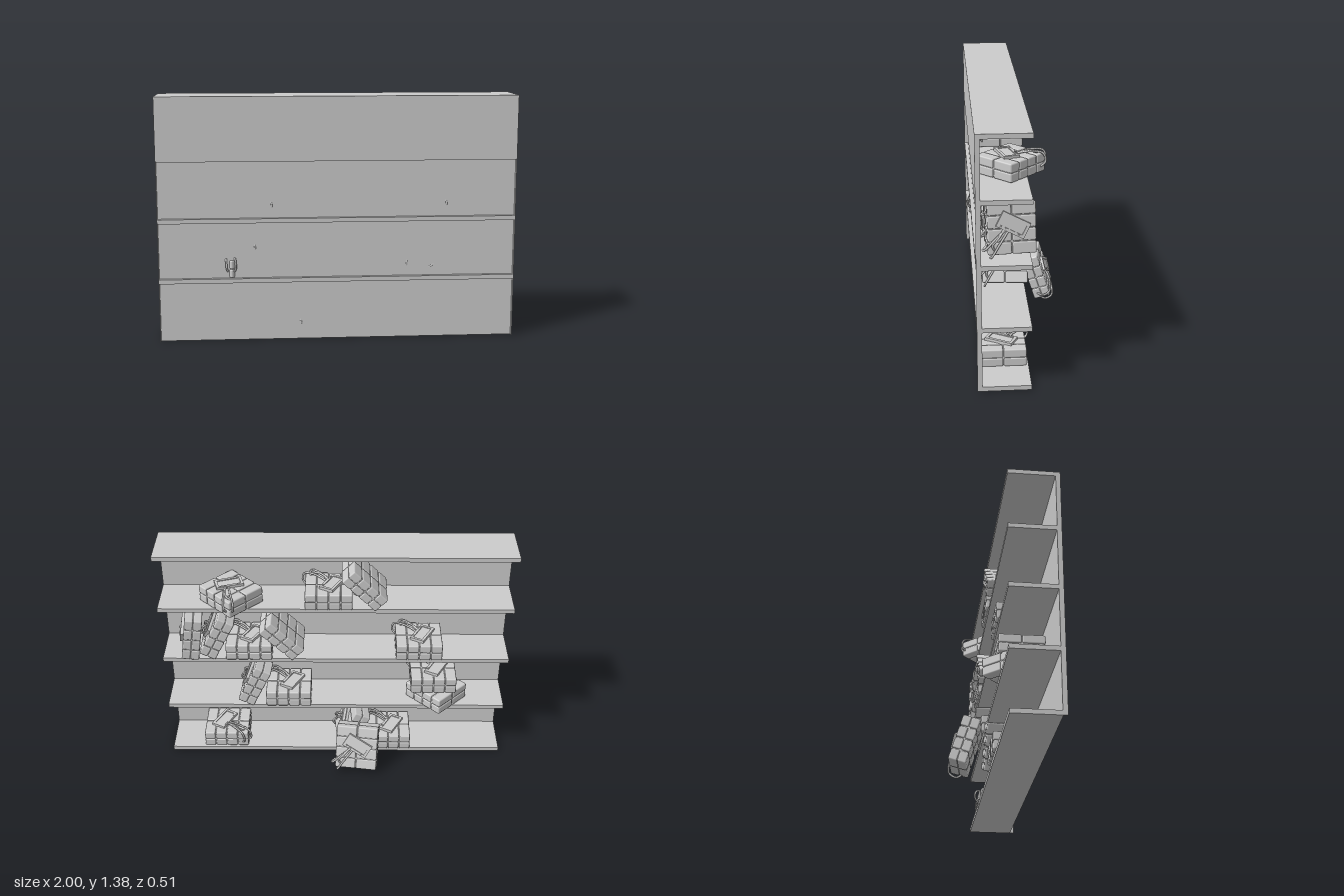
import * as THREE from 'three';
import { RoundedBoxGeometry } from 'three/addons/geometries/RoundedBoxGeometry.js';

const material = new THREE.MeshStandardMaterial({ color: 0xcccccc });
const L = 0.27, H = 0.102, W = 0.25; // bundle size: 4 x 2 x 2 blocks

function add(parent, name, geometry, x = 0, y = 0, z = 0) {
  const mesh = new THREE.Mesh(geometry, material);
  mesh.name = name;
  mesh.position.set(x, y, z);
  parent.add(mesh);
  return mesh;
}

// Box given by its lower and upper corner
function addBox(parent, name, [x0, y0, z0], [x1, y1, z1]) {
  add(parent, name, new THREE.BoxGeometry(x1 - x0, y1 - y0, z1 - z0),
    (x0 + x1) / 2, (y0 + y1) / 2, (z0 + z1) / 2);
}

function rect(Type, w, h) {
  return new Type([
    new THREE.Vector2(-w / 2, -h / 2), new THREE.Vector2(w / 2, -h / 2),
    new THREE.Vector2(w / 2, h / 2), new THREE.Vector2(-w / 2, h / 2),
  ]);
}

// Geometries shared by every bundle
function makeParts() {
  const frame = rect(THREE.Shape, 0.155, 0.085);
  frame.holes.push(rect(THREE.Path, 0.125, 0.055));
  const wire = (pts) => new THREE.TubeGeometry(
    new THREE.CatmullRomCurve3(pts.map((p) => new THREE.Vector3(...p))), 20, 0.006, 6);
  return {
    block: new RoundedBoxGeometry(L / 4 - 0.004, H / 2 - 0.002, W / 2 - 0.004, 1, 0.008),
    core: new THREE.BoxGeometry(L - 0.016, H - 0.016, W - 0.016),
    body: new THREE.BoxGeometry(0.155, 0.085, 0.014),
    frame: new THREE.ExtrudeGeometry(frame, { depth: 0.005, bevelEnabled: false }),
    button: new THREE.BoxGeometry(0.014, 0.005, 0.003),
    wires: [
      wire([[0, 0.055, 0.03], [0.05, 0.068, 0.09], [0.1, 0.055, 0.136], [0.112, 0.01, 0.144], [0.1, -0.02, 0.12]]),
      wire([[0.01, 0.055, 0.02], [0.08, 0.068, 0.07], [0.14, 0.055, 0.105], [0.15, 0.01, 0.11], [0.125, -0.02, 0.1]]),
      wire([[0, 0.055, 0.04], [0.04, 0.07, 0.07], [0.08, 0.06, 0.1], [0.11, 0.045, 0.09]]),
    ],
  };
}

// Bundle of blocks with a small screen unit and wires on top
function makeBundle(parts) {
  const bundle = new THREE.Group();
  bundle.name = 'bundle';
  add(bundle, 'bundleCore', parts.core);
  for (let i = 0; i < 4; i++)
    for (let j = 0; j < 2; j++)
      for (let k = 0; k < 2; k++)
        add(bundle, 'block', parts.block, (i - 1.5) * L / 4, (j - 0.5) * H / 2, (k - 0.5) * W / 2);

  const unit = new THREE.Group();
  unit.name = 'screenUnit';
  add(unit, 'screenBody', parts.body);
  add(unit, 'screenFrame', parts.frame, 0, 0, 0.007);
  for (const x of [-0.05, -0.03, 0.05]) add(unit, 'button', parts.button, x, -0.035, 0.013);
  // Lay flat and turn the long side towards -z
  unit.rotation.set(-Math.PI / 2 + 0.02, 0, 1.08);
  unit.position.set(-0.02, H / 2 + 0.002, -0.006);
  bundle.add(unit);

  parts.wires.forEach((geometry) => add(bundle, 'wire', geometry));
  return bundle;
}

export function createModel() {
  const model = new THREE.Group();
  model.name = 'stockedShelf';

  // Panel: flush upper part, recessed lower part with a thin edge at each end
  const back = -0.023, recess = 0.233, face = 0.256;
  addBox(model, 'upperPanel', [-1, 1.018, 0.231], [1, 1.375, face]);
  addBox(model, 'lowerPanel', [-1, 0, 0.23], [1, 1.02, recess]);
  for (const s of [-1, 1])
    addBox(model, 'panelEdge', [s * 0.9985 - 0.0015, 0, 0.23], [s * 0.9985 + 0.0015, 1.02, face]);

  // Shelves; the middle ones reach through to the face
  const tops = [0.025, 0.36, 0.7, 1.043, 1.375];
  tops.forEach((y, i) =>
    addBox(model, 'shelf', [-1, y - 0.025, back], [1, y, i === 0 ? recess : face]));

  // Bundles: shelf index, x, z, lean and turn in degrees, extra lift
  const layout = [
    [0, 0.67, 0.11, 0, 180],
    [0, -0.32, 0.085, 0, 0],
    [0, -0.1, 0.075, 65, 4],
    [0, -0.13, -0.152, 72, 82, -0.015],
    [1, 0.28, 0.085, 0, 0],
    [1, 0.47, 0.08, 65, -4],
    [1, -0.6, 0.067, 0, -45],
    [1, -0.575, 0.085, 0, 0, H],
    [2, 0.5, 0.085, 0, 0],
    [2, 0.68, 0.08, 63, 0],
    [2, 0.83, 0.075, 82, 5],
    [2, 0.31, 0.075, 135, 0],
    [2, -0.48, 0.085, 0, 0],
    [3, 0.59, 0.06, 0, 135],
    [3, 0.04, 0.085, 0, 0],
    [3, -0.16, 0.072, 135, 0],
  ];
  const parts = makeParts();
  for (const [shelf, x, z, lean, turn, lift = 0] of layout) {
    const a = THREE.MathUtils.degToRad(lean);
    const half = (L * Math.abs(Math.sin(a)) + H * Math.abs(Math.cos(a))) / 2;
    const bundle = makeBundle(parts);
    bundle.position.set(x, tops[shelf] + half + lift, z);
    bundle.rotation.set(0, THREE.MathUtils.degToRad(turn), -a);
    model.add(bundle);
  }
  return model;
}
